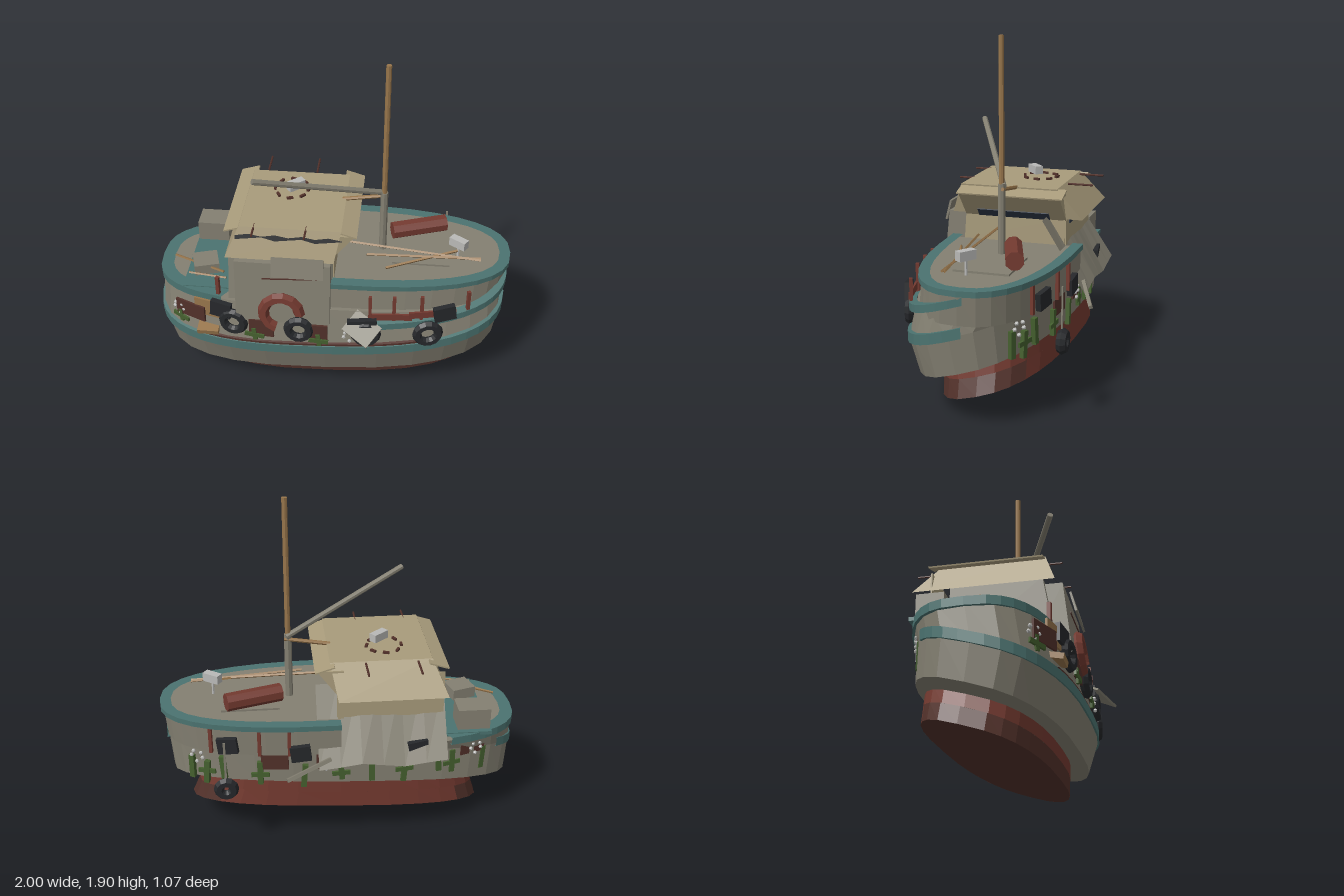
import * as THREE from 'three';

const mat = (name, color, side = THREE.FrontSide) => {
  const m = new THREE.MeshStandardMaterial({ color, flatShading: true, side });
  m.name = name;
  return m;
};

export function createModel() {
  const D = THREE.DoubleSide;
  const grey = mat('weatheredGrey', 0x848072), teal = mat('tealTrim', 0x4b7370, D);
  const red = mat('rustRed', 0x743a30, D), beige = mat('canvasBeige', 0xa89b7b);
  const wood = mat('wood', 0x97754b), black = mat('rubberBlack', 0x26282b, D);
  const green = mat('mossGreen', 0x45602f), glass = mat('windowBlue', 0x2c3644);
  const white = mat('paleMetal', 0xb9b9b7), brown = mat('darkBrown', 0x52312a, D);

  const model = new THREE.Group();
  const add = (name, geo, m, x = 0, y = 0, z = 0, rx = 0, ry = 0, rz = 0) => {
    const mesh = new THREE.Mesh(geo, m);
    mesh.name = name;
    mesh.position.set(x, y, z);
    mesh.rotation.set(rx, ry, rz);
    model.add(mesh);
    return mesh;
  };
  const box = (name, m, w, h, d, ...at) => add(name, new THREE.BoxGeometry(w, h, d), m, ...at);
  // round bar between two points
  const bar = (name, m, a, b, r, sides = 6) => {
    const A = new THREE.Vector3(...a), B = new THREE.Vector3(...b), dir = B.clone().sub(A);
    const mesh = add(name, new THREE.CylinderGeometry(r, r, dir.length(), sides), m);
    mesh.position.copy(A).add(B).multiplyScalar(0.5);
    mesh.quaternion.setFromUnitVectors(new THREE.Vector3(0, 1, 0), dir.normalize());
    return mesh;
  };
  // box with a smaller or shifted top: [x0, x1, z0, z1, y] for bottom and top
  const frustum = (name, m, lo, hi, open = false) => {
    const g = new THREE.BoxGeometry(1, 1, 1), p = g.attributes.position;
    for (let i = 0; i < p.count; i++) {
      const e = p.getY(i) > 0 ? hi : lo;
      p.setXYZ(i, p.getX(i) > 0 ? e[1] : e[0], e[4], p.getZ(i) > 0 ? e[3] : e[2]);
    }
    // an open one has no bottom face
    if (open) g.setIndex([...g.index.array].filter((_, i) => i < 18 || i >= 24)).clearGroups();
    g.computeVertexNormals();
    return add(name, g, m);
  };

  // boat-shaped outlines at a height given by a number or by a heeled plane
  const ring = (cx, rx, cz, rz, y) => ({ cx, rx, cz, rz, y });
  const heel = (c) => (x, z) => c + 0.055 * x - 0.305 * z;
  const ringPoint = (r, t) => {
    const c = Math.cos(t), s = Math.sin(t), p = c < 0 ? 0.7 : 0.8;
    const x = r.cx + r.rx * Math.sign(c) * Math.abs(c) ** p;
    const z = r.cz + r.rz * Math.sign(s) * Math.abs(s) ** p;
    return [x, typeof r.y === 'function' ? r.y(x, z) : r.y, z];
  };
  const loft = (name, m, rings, { from = 0, to = 360, n = 28, top = false, bottom = false } = {}) => {
    const v = [], rad = Math.PI / 180;
    const at = (r, i) => ringPoint(r, (from + (to - from) * i / n) * rad);
    const mid = (r) => [r.cx, typeof r.y === 'function' ? r.y(r.cx, r.cz) : r.y, r.cz];
    for (let i = 0; i < n; i++) {
      for (let k = 0; k + 1 < rings.length; k++) {
        const a = at(rings[k], i), b = at(rings[k], i + 1);
        const c = at(rings[k + 1], i + 1), d = at(rings[k + 1], i);
        v.push(...a, ...d, ...c, ...a, ...c, ...b);
      }
      const last = rings[rings.length - 1];
      if (top) v.push(...mid(last), ...at(last, i + 1), ...at(last, i));
      if (bottom) v.push(...mid(rings[0]), ...at(rings[0], i), ...at(rings[0], i + 1));
    }
    const g = new THREE.BufferGeometry();
    g.setAttribute('position', new THREE.Float32BufferAttribute(v, 3));
    g.computeVertexNormals();
    return add(name, g, m);
  };

  // heeled hull: dark keel, red on the raised side and as a band above
  const keelLow = ring(0.025, 0.825, -0.055, 0.315, heel(0.086));
  const keelMid = ring(0.02, 0.79, -0.05, 0.318, heel(0.18));
  loft('keelBottom', brown, [keelLow], { bottom: true });
  loft('keelSide', brown, [keelLow, keelMid], { from: -40, to: 220, n: 20 });
  loft('keelSideRaised', red, [keelLow, keelMid], { from: 220, to: 320, n: 8 });
  loft('keelBand', red, [keelMid, ring(0.02, 0.77, -0.045, 0.32, heel(0.27))]);
  loft('hull', grey, [ring(-0.01, 0.96, 0, 0.37, heel(0.25)),
    ring(-0.01, 0.98, 0.03, 0.4, heel(0.45))], { bottom: true });
  loft('bulwark', grey, [ring(-0.01, 0.98, 0.03, 0.4, heel(0.45)),
    ring(-0.01, 0.97, -0.005, 0.385, 0.585)], { top: true });
  const strip = (name, m, cx, rx, cz, rz, w, y0, y1, opt) => loft(name, m, [
    ring(cx, rx - w, cz, rz - w, y0), ring(cx, rx, cz, rz, y0),
    ring(cx, rx, cz, rz, y1), ring(cx, rx - w, cz, rz - w, y1)], opt);
  strip('rubbingStrake', teal, -0.01, 0.99, 0.03, 0.405, 0.05, heel(0.435), heel(0.49), { from: -6, to: 215 });
  strip('walkwayPlank', brown, -0.01, 0.98, 0.03, 0.4, 0.03, heel(0.488), heel(0.503), { from: 55, to: 125, n: 10 });
  strip('bowStrake', teal, 0, 0.985, 0.02, 0.4, 0.04, heel(0.6), heel(0.64), { from: -6, to: 82, n: 14 });
  strip('sternRail', teal, -0.01, 0.985, -0.005, 0.39, 0.07, 0.56, 0.605, { from: 118, to: 242, n: 14 });
  box('sternDeck', teal, 0.36, 0.02, 0.6, -0.64, 0.6, -0.02);

  // raised foredeck
  const half = { from: -90, to: 90, n: 18 };
  loft('foredeck', grey, [ring(0.02, 0.95, -0.015, 0.375, 0.56),
    ring(0.02, 0.965, -0.025, 0.365, 0.728)], { ...half, top: true });
  strip('foredeckRail', teal, 0.02, 0.98, -0.025, 0.38, 0.06, 0.715, 0.745, half);
  box('hatch', grey, 0.32, 0.012, 0.3, 0.5, 0.733, -0.03);

  // cabin, with a bow wall that rakes forward under the roof
  frustum('cabinWalls', grey, [-0.555, 0.025, -0.2, 0.35, 0.5], [-0.545, 0.025, -0.2, 0.28, 0.9]);
  frustum('cabinBowWall', beige, [0, 0.032, -0.31, 0.28, 0.73], [0, 0.03, -0.31, 0.27, 0.88]);
  frustum('rakedBowWall', beige, [0, 0.03, -0.31, 0.27, 0.87], [0, 0.14, -0.3, 0.28, 1.015]);
  box('bowWindow', glass, 0.006, 0.05, 0.41, 0.053, 0.892, -0.015, 0, 0, -0.65);
  box('cabinBackWall', beige, 0.58, 0.26, 0.008, -0.255, 0.855, -0.3);
  box('backWindow', glass, 0.28, 0.12, 0.006, -0.2, 0.895, -0.307);
  frustum('roof', beige, [-0.555, 0.035, -0.4, 0.345, 0.88], [-0.48, 0.07, -0.265, 0.285, 1.05], true);
  for (const s of [-1, 1]) {
    box('roofFlap', beige, 0.11, 0.008, 0.6, -0.205 + s * 0.305, 1.028, -0.015, 0, 0, -s * 0.3);
  }
  // ragged gap under the front eave
  const gap = new THREE.Shape();
  const gapX = (i) => -0.5 + i * 0.072;
  gap.moveTo(gapX(0), 0.135);
  for (let i = 0; i <= 8; i++) gap.lineTo(gapX(i), 0.132 + (i % 2) * 0.012);
  for (let i = 8; i >= 0; i--) gap.lineTo(gapX(i), 0.11 + (i % 3) * 0.009);
  add('eaveGap', new THREE.ShapeGeometry(gap), black, 0, 0.88, 0.35, -0.345);
  for (const x of [-0.4, -0.12]) {
    bar('roofBatten', brown, [x, 1.045, -0.42], [x, 1.045, -0.28], 0.006);
    bar('roofBatten', brown, [x, 1.045, 0.25], [x, 1.045, 0.36], 0.006);
  }
  for (let i = 0; i < 8; i++) {
    const a = i * Math.PI / 4;
    box('roofPeg', brown, 0.014, 0.014, 0.035,
      -0.24 + 0.095 * Math.cos(a), 1.055, -0.09 + 0.095 * Math.sin(a), 0, -a + (i % 3 - 1) * 0.3);
  }
  box('roofLamp', white, 0.1, 0.045, 0.045, -0.215, 1.1, -0.065, 0, 0.7);

  // sloping sheet from the back wall out to the rail, seen from outside only
  const tarp = new THREE.PlaneGeometry(0.7, 1, 6, 1), tp = tarp.attributes.position;
  for (let i = 0; i < tp.count; i++) {
    const x = tp.getX(i), u = 0.5 - tp.getY(i);
    tp.setXYZ(i, -x - 0.205, 0.89 - (0.38 + 0.015 * Math.sin(x * 14)) * u, -0.205 - 0.245 * u);
  }
  tarp.computeVertexNormals();
  add('tarp', tarp, grey);

  // side locker
  frustum('sideLocker', grey, [-0.5, 0.02, 0.2, 0.415, 0.5], [-0.5, 0.02, 0.2, 0.375, 0.88]);
  box('lockerLid', grey, 0.28, 0.115, 0.012, -0.155, 0.872, 0.395, -0.25);
  box('lockerSlot', brown, 0.3, 0.006, 0.006, -0.2, 0.79, 0.387, -0.1, 0, 0.05);

  // mast and boom
  bar('mastFoot', grey, [0.28, 0.73, -0.02], [0.28, 1.11, -0.02], 0.021, 8);
  bar('mast', wood, [0.28, 1.1, -0.02], [0.28, 1.885, -0.02], 0.015, 8);
  bar('boom', grey, [0.29, 1.1, -0.035], [-0.39, 1.35, 0.3], 0.016, 8);
  bar('mastStay', wood, [0.3, 1.085, -0.03], [0.05, 1.045, -0.03], 0.011);

  // foredeck cargo
  bar('canvasRoll', red, [0.33, 0.795, -0.1], [0.63, 0.8, -0.2], 0.05, 8);
  box('deckLamp', white, 0.1, 0.05, 0.045, 0.705, 0.835, 0.03, 0, -0.6);
  bar('deckLampStand', white, [0.705, 0.73, 0.03], [0.705, 0.82, 0.03], 0.008);
  bar('plank', wood, [0.1, 0.82, 0.06], [0.83, 0.78, 0.11], 0.008, 4);
  bar('plank', wood, [0.2, 0.8, 0.14], [0.83, 0.78, 0.095], 0.008, 4);
  bar('plank', wood, [0.31, 0.76, 0.2], [0.7, 0.8, 0.06], 0.008, 4);

  // stern cargo
  box('sternCrate', grey, 0.18, 0.12, 0.14, -0.725, 0.67, -0.22);
  box('sternCrate', grey, 0.14, 0.07, 0.13, -0.72, 0.64, 0.11, 0, 0.3);
  bar('sternStick', wood, [-0.91, 0.64, 0.05], [-0.6, 0.66, 0.2], 0.007, 4);
  bar('sternStick', wood, [-0.8, 0.64, 0.2], [-0.58, 0.65, 0.24], 0.007, 4);

  // fittings that follow the curve of the side: s = 1 front, -1 back
  const hullZ = (x) => 0.395 * (1 - Math.abs(x) ** 2.5) ** 0.4;
  const onSide = (name, geo, m, s, x, y, out = 0, tilt = 0) => {
    const slope = (hullZ(x + 0.01) - hullZ(x - 0.01)) / 0.02;
    return add(name, geo, m, x, y, s * (hullZ(x) + out), 0, Math.atan2(-slope, s), tilt);
  };
  const plate = (name, m, s, x, y, w, h, out = 0, tilt = 0, d = 0.012) =>
    onSide(name, new THREE.BoxGeometry(w, h, d), m, s, x, y, out, tilt);
  const tyre = new THREE.TorusGeometry(0.06, 0.026, 6, 14);
  for (const x of [-0.52, -0.15, 0.22, 0.56]) onSide('tyre', tyre, black, 1, x, 0.47, 0.035);
  add('tyre', new THREE.TorusGeometry(0.04, 0.028, 6, 12), black, 0.645, 0.415, -0.455);
  add('lifeRing', new THREE.TorusGeometry(0.1, 0.032, 6, 9, Math.PI * 1.4), red, -0.245, 0.575, 0.42, -0.1);

  for (const [x, y, w, h] of [[-0.775, 0.475, 0.19, 0.1], [-0.36, 0.455, 0.14, 0.11], [-0.05, 0.46, 0.12, 0.1]]) {
    plate('sidePanel', brown, 1, x, y, w, h, 0.036);
  }
  plate('sidePanel', wood, 1, -0.65, 0.52, 0.2, 0.11, 0.024);
  plate('foredeckBand', red, 1, 0.36, 0.575, 0.22, 0.04, 0.012);
  plate('foredeckBand', red, 1, 0.58, 0.59, 0.26, 0.04, 0.012);
  for (const [x, y, w, h, t] of [[-0.59, 0.54, 0.12, 0.1, -0.1], [0.2, 0.535, 0.16, 0.06, 0.1], [0.645, 0.605, 0.12, 0.09, 0.15]]) {
    plate('fenderMat', black, 1, x, y, w, h, 0.03, t, 0.03);
  }
  for (const x of [0.24, 0.37, 0.52, 0.77]) plate('railPost', red, 1, x, 0.63, 0.018, 0.16, 0.005, 0, 0.018);
  plate('railPost', red, 1, -0.61, 0.65, 0.02, 0.14, -0.02, 0, 0.02);
  for (const x of [-0.84, -0.4, -0.04]) {
    plate('mossPost', green, 1, x, 0.41, 0.025, 0.08, 0.043, 0.1);
    plate('mossBar', green, 1, x, 0.405, 0.11, 0.025, 0.046, -0.08);
  }
  box('walkwayBoard', wood, 0.12, 0.03, 0.08, -0.67, 0.39, 0.37, 0.2);
  box('loosePanel', grey, 0.17, 0.012, 0.14, 0.2, 0.525, 0.45, 0.6, -0.6, 0);

  // back side fittings
  for (const x of [-0.72, -0.45, 0.08, 0.38]) plate('sidePanel', brown, -1, x, 0.515, 0.15, 0.1, -0.016);
  for (const [x, y] of [[-0.4, 0.57], [0.24, 0.58], [0.63, 0.62]]) {
    plate('fenderMat', black, -1, x, y, 0.11, 0.09, 0.01, 0.12, 0.03);
  }
  [-0.78, -0.6, -0.52, -0.33, -0.15, 0.02, 0.22, 0.46, 0.66, 0.75, 0.83].forEach((x, i) => {
    plate('mossPost', green, -1, x, 0.42 + 0.02 * (i % 3), 0.03, 0.14, -0.018, 0.08 * (i % 3 - 1), 0.025);
    if (i % 2) plate('mossBar', green, -1, x, 0.43, 0.1, 0.025, -0.012, 0.06);
  });
  for (const x of [0.3, 0.46, 0.72]) plate('railPost', red, -1, x, 0.64, 0.018, 0.15, 0.005, 0, 0.018);
  bar('looseBoard', grey, [0.08, 0.55, -0.425], [0.32, 0.49, -0.52], 0.014, 4);
  box('tyreRope', grey, 0.012, 0.22, 0.008, 0.645, 0.59, -0.45);

  // clusters of small shells
  const shell = new THREE.IcosahedronGeometry(0.012, 0);
  for (const [s, x, y] of [[1, -0.85, 0.46], [1, 0.13, 0.45], [-1, -0.74, 0.5], [-1, -0.4, 0.5], [-1, 0.1, 0.5], [-1, 0.8, 0.52]]) {
    for (let i = 0; i < 5; i++) {
      onSide('shell', shell, white, s, x + 0.03 * Math.cos(i * 2.4), y + 0.035 * Math.sin(i * 2.4), s > 0 ? 0.04 : -0.004);
    }
  }
  return model;
}
